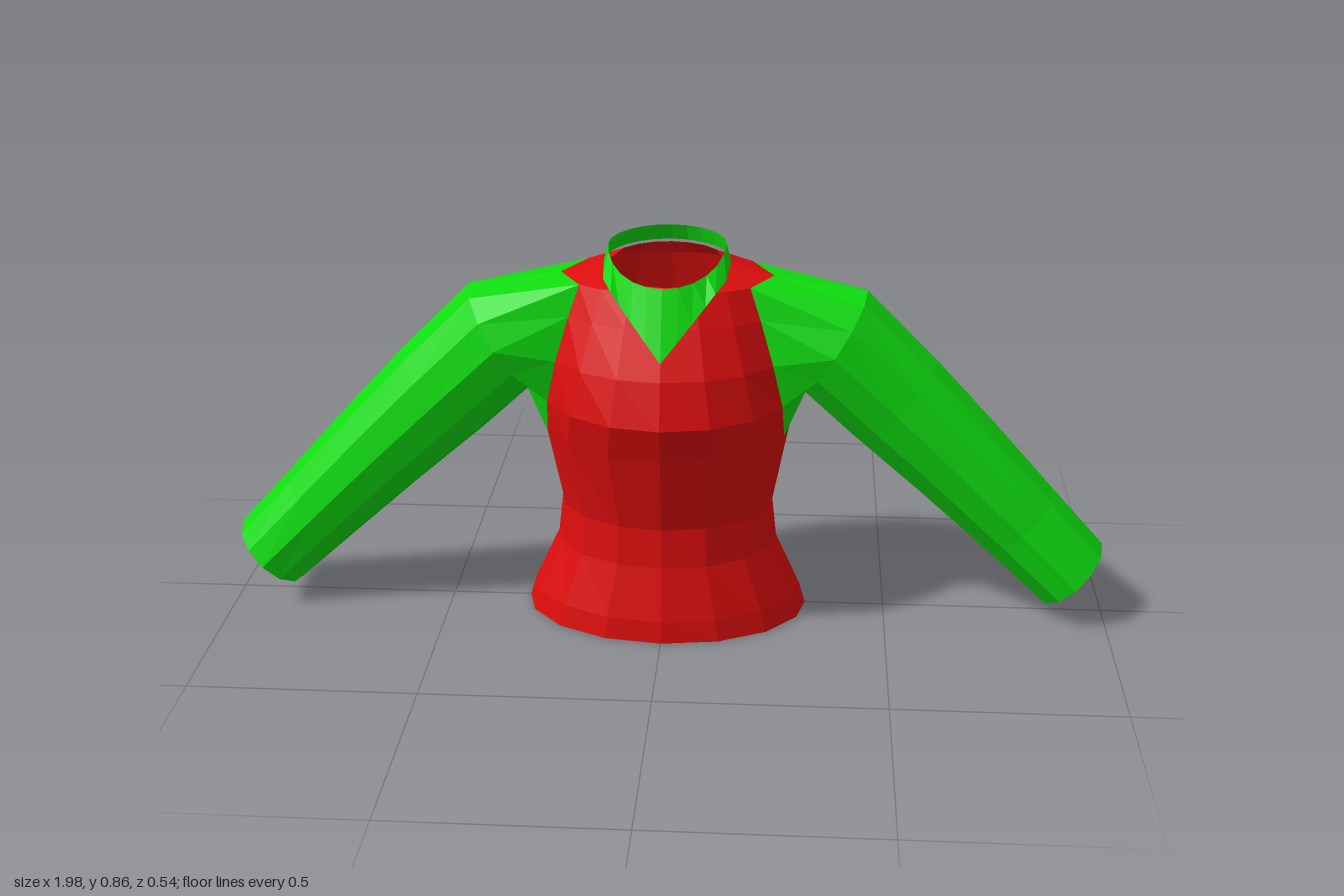
import * as THREE from 'three';

const red = new THREE.MeshStandardMaterial({ color: 0xdd0d0d, side: THREE.DoubleSide });
red.name = 'red cloth';
const green = new THREE.MeshStandardMaterial({ color: 0x0fdd0f, side: THREE.DoubleSide });
green.name = 'green cloth';

// Faceted skin between closed rings of points; skip(r, j) leaves a quad open
function loft(name, rings, material, flip = false, skip = () => false) {
  const pos = [];
  const n = rings[0].length;
  for (let r = 0; r < rings.length - 1; r++) {
    for (let j = 0; j < n; j++) {
      if (skip(r, j)) continue;
      const k = (j + 1) % n;
      const a = rings[r][j], b = rings[r + 1][j], c = rings[r + 1][k], d = rings[r][k];
      const tris = flip ? [a, c, b, a, d, c] : [a, b, c, a, c, d];
      tris.forEach((p) => pos.push(...p));
    }
  }
  const geo = new THREE.BufferGeometry();
  geo.setAttribute('position', new THREE.Float32BufferAttribute(pos, 3));
  geo.computeVertexNormals();
  const mesh = new THREE.Mesh(geo, material);
  mesh.name = name;
  return mesh;
}

// Torso rows: height, half width, front depth, back depth, side panel angle
const ROWS = [
  [0, 0.32, 0.235, 0.27, 20],
  [0.05, 0.305, 0.23, 0.25, 20],
  [0.17, 0.25, 0.205, 0.192, 20],
  [0.26, 0.24, 0.2, 0.19, 20],
  [0.44, 0.275, 0.245, 0.208, 16],
  [0.52, 0.28, 0.27, 0.218, 22],
  [0.62, 0.275, 0.24, 0.212, 30],
  [0.72, 0.255, 0.19, 0.19, 35],
  [0.79, 0.235, 0.155, 0.172, 38],
  [0.82, 0.13, 0.14, 0.15, 38],
];
const ARM_LOW = 4, ARM_HIGH = 8;

function torsoRing([y, w, front, back, side], r) {
  // Three columns on each side panel, the rest spread over chest and back
  const angles = [-side, 0, side];
  const step = (180 - 2 * side) / 6;
  for (let i = 1; i < 6; i++) angles.push(side + i * step);
  angles.push(180 - side, 180, 180 + side);
  for (let i = 1; i < 6; i++) angles.push(180 + side + i * step);
  return angles.map((deg) => {
    const t = THREE.MathUtils.degToRad(deg), s = Math.sin(t);
    const dip = r === ROWS.length - 1 ? 0.02 * Math.max(0, s) : 0; // lower front neckline
    return [w * Math.cos(t), y - dip, s * (s > 0 ? front : back)];
  });
}

// Sleeve sections: centre x, y, half height, front depth, back depth
const SLEEVE = [
  [0.37, 0.645, 0.135, 0.138, 0.125],
  [0.51, 0.51, 0.128, 0.122, 0.115],
  [0.65, 0.375, 0.117, 0.113, 0.103],
  [0.8, 0.225, 0.105, 0.107, 0.098],
  [0.925, 0.1, 0.096, 0.113, 0.1],
];

function sleeveRings(torso, sign) {
  // First ring runs around the armhole: top, down the front, up the back
  const arm = torso.slice(ARM_LOW, ARM_HIGH + 1);
  const first = [arm[4][1]];
  for (let i = 4; i >= 0; i--) first.push(arm[i][2]);
  first.push(arm[0][1]);
  for (let i = 0; i <= 4; i++) first.push(arm[i][0]);

  const rings = [first];
  SLEEVE.forEach(([x, y, h, front, back], r) => {
    const tilt = r === 0 ? 1.02 : 0.8; // lean of the section toward the arm line
    const ring = [];
    for (let j = 0; j < 12; j++) {
      const t = (j * Math.PI) / 6, c = Math.cos(t), s = Math.sin(t);
      ring.push([
        x + h * c * Math.cos(tilt),
        y + h * c * Math.sin(tilt),
        s * (s > 0 ? front : back),
      ]);
    }
    rings.push(ring);
  });
  return rings.map((ring) => ring.map(([x, y, z]) => [sign * x, y, z]));
}

// Standing collar whose lower edge drops to a point on the chest
function collarRings() {
  const lower = [], upper = [];
  const chest = (x, y) => (0.22 - 0.5 * (y - 0.66)) * Math.sqrt(1 - (x / 0.25) ** 2) + 0.012;
  for (let i = 0; i < 24; i++) {
    const t = (i * Math.PI) / 12, c = Math.cos(t), s = Math.sin(t);
    const zTop = s * (s > 0 ? 0.172 : 0.155);
    upper.push([0.13 * c, 0.858 - 0.05 * Math.max(0, (zTop - 0.02) / 0.15), zTop]);
    const x = 0.13 * c, edge = 0.385;
    if (s <= 0.001) {
      lower.push([0.14 * c, 0.82, 0.172 * s]);
    } else if (s < edge) {
      const k = s / edge;
      lower.push([0.138 * c, 0.82 - 0.02 * k, chest(0.12, 0.8) * k]);
    } else {
      const y = 0.66 + 0.14 * Math.abs(x) / 0.12;
      lower.push([x, y, chest(x, y)]);
    }
  }
  return [lower, upper];
}

export function createModel() {
  const group = new THREE.Group();
  group.name = 'sweater';

  // Body, with armholes left open in the side panels
  const torso = ROWS.map(torsoRing);
  const armhole = (r, j) => r >= ARM_LOW && r < ARM_HIGH && [0, 1, 8, 9].includes(j);
  group.add(loft('torso', torso, red, false, armhole));

  // Sleeves, open at the cuffs
  group.add(loft('leftSleeve', sleeveRings(torso, 1), green, true));
  group.add(loft('rightSleeve', sleeveRings(torso, -1), green, false));

  // Collar with pointed front
  group.add(loft('collar', collarRings(), green));

  return group;
}
